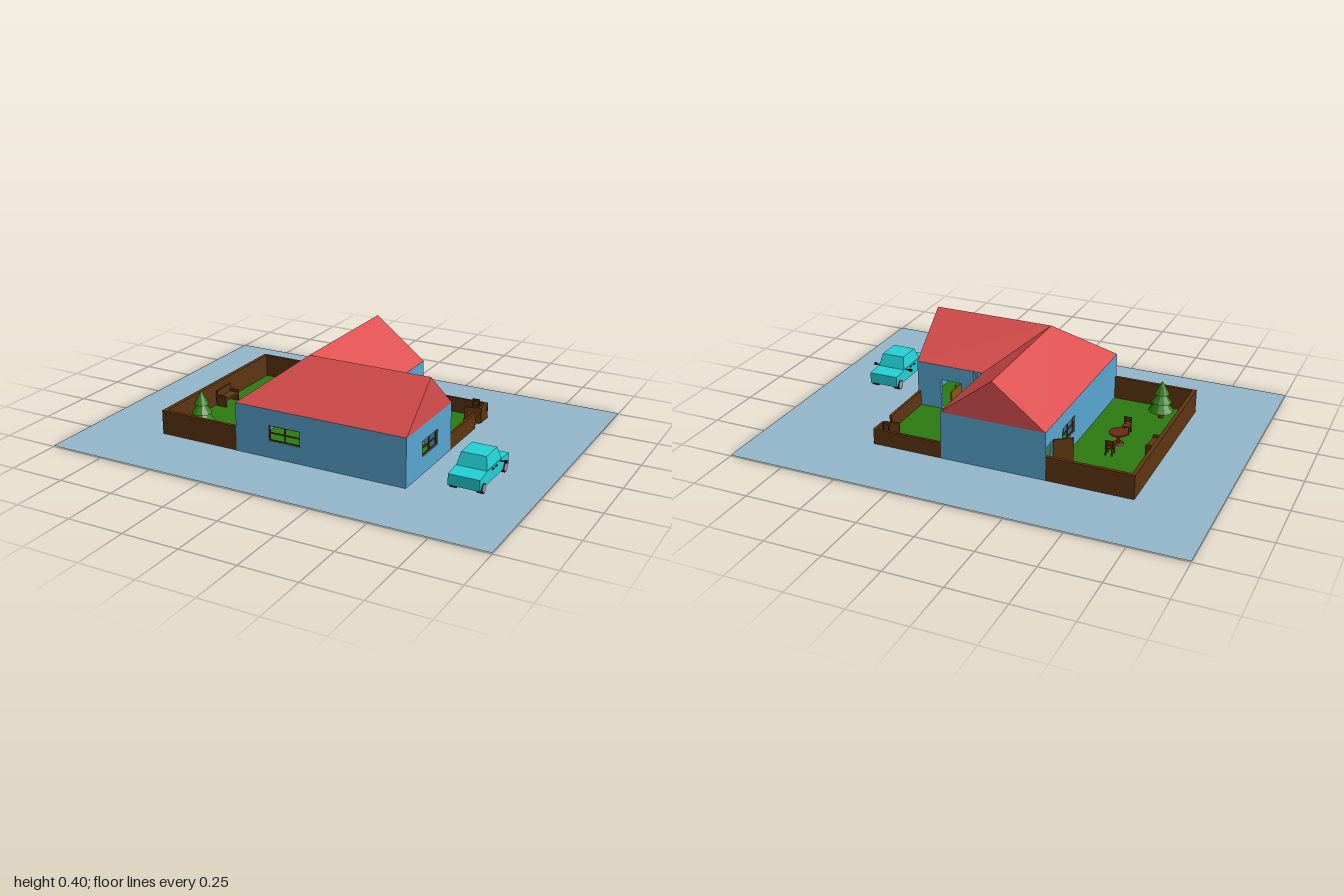
import * as THREE from 'three';

const paint = (name, color) => Object.assign(new THREE.MeshStandardMaterial({ color }), { name });

export function createModel() {
  const root = new THREE.Group();
  root.name = 'houseWithGardens';
  const ground = paint('paving', 0x93b6ca), grass = paint('grass', 0x2d7a10), blue = paint('wallBlue', 0x58a6d0),
    red = paint('roofRed', 0xdc4e4e), brown = paint('fenceBrown', 0x5e3510), oak = paint('doorOak', 0x84590f),
    cyan = paint('carCyan', 0x22d0d4), black = paint('black', 0x111111), grey = paint('hubGrey', 0x9aa4aa),
    wood = paint('furnitureWood', 0x6e2a14);
  for (const m of [red, ground, grass]) m.side = THREE.DoubleSide;

  const add = (name, geo, mat, x = 0, y = 0, z = 0, parent = root) => {
    const m = new THREE.Mesh(geo, mat);
    m.name = name;
    m.position.set(x, y, z);
    parent.add(m);
    return m;
  };
  // box given by its centre in plan and its bottom height
  const box = (name, mat, x, y, z, w, h, d, parent) =>
    add(name, new THREE.BoxGeometry(w, h, d), mat, x, y + h / 2, z, parent);
  // upright board between two points of the plan
  const board = (name, mat, x0, z0, x1, z1, h, t) => {
    const m = box(name, mat, (x0 + x1) / 2, 0, (z0 + z1) / 2, Math.hypot(x1 - x0, z1 - z0), h, t);
    m.rotation.y = -Math.atan2(z1 - z0, x1 - x0);
  };

  // Ground and lawn
  add('ground', new THREE.PlaneGeometry(2, 1.5).rotateX(-Math.PI / 2), ground, 0, 0.004, 0);
  add('lawn', new THREE.PlaneGeometry(1.15, 0.82).rotateX(-Math.PI / 2), grass, -0.085, 0.008, 0);

  // House walls; openings are [start, end, bottom, top] along the wall
  const T = 0.014, H = 0.22;
  const wall = (x0, z0, x1, z1, openings = []) => {
    const g = new THREE.Group();
    g.name = 'houseWall';
    g.position.set(x0, 0, z0);
    g.rotation.y = -Math.atan2(z1 - z0, x1 - x0);
    const L = Math.hypot(x1 - x0, z1 - z0);
    const s = new THREE.Shape([[0, 0], [L, 0], [L, H], [0, H]].map(p => new THREE.Vector2(...p)));
    for (const [a, b, lo, hi] of openings) {
      s.holes.push(new THREE.Path([[a, lo], [a, hi], [b, hi], [b, lo]].map(p => new THREE.Vector2(...p))));
      if (lo < 0.05) continue;
      // window frame and cross bars
      const f = 0.005, w = b - a, h = hi - lo, mid = (a + b) / 2;
      for (const u of [a + f / 2, mid, b - f / 2]) box('windowUpright', brown, u, lo, -T / 2, f, h, f, g);
      for (const v of [lo, lo + h / 2 - f / 2, hi - f]) box('windowBar', brown, mid, v, -T / 2, w, f, f, g);
    }
    add('wallPanel', new THREE.ExtrudeGeometry(s, { depth: T, bevelEnabled: false }), blue, 0, 0, -T, g);
    root.add(g);
  };
  wall(-0.29, 0.42, 0.5, 0.42, [[0.16, 0.31, 0.08, 0.15]]);
  wall(0.5, 0.42, 0.5, -0.01, [[0.15, 0.295, 0.08, 0.15]]);
  wall(0.5, -0.01, 0.18, -0.01, [[0.115, 0.215, 0.01, 0.15]]);
  wall(0.18, -0.01, 0.18, -0.42, [[0.14, 0.27, 0.075, 0.15]]);
  wall(0.18, -0.42, -0.29, -0.42);
  wall(-0.29, -0.42, -0.29, 0.42, [[0.015, 0.08, 0.01, 0.15], [0.185, 0.32, 0.075, 0.15]]);
  wall(-0.276, -0.01, 0.18, -0.01, [[0.3, 0.38, 0.01, 0.15]]);
  wall(0.22, 0.15, 0.22, -0.02);

  // Roof: two gabled wings meeting in a hip and a valley
  const P = {
    A: [-0.29, H, 0.42], B: [0.5, H, 0.42], C: [0.5, H, -0.01], D: [0.18, H, -0.01], E: [0.18, H, -0.42],
    F: [-0.29, H, -0.42], R: [-0.055, 0.402, 0.205], S: [0.5, 0.402, 0.205], U: [-0.055, 0.402, -0.42],
  };
  const roof = new THREE.BufferGeometry();
  const corners = ['ABS', 'ASR', 'BCS', 'CDR', 'CRS', 'DEU', 'DUR', 'EFU', 'FAR', 'FRU'].join('');
  roof.setAttribute('position', new THREE.Float32BufferAttribute([...corners].flatMap(k => P[k]), 3));
  roof.computeVertexNormals();
  add('roof', roof, red);

  // Open doors and garden gate
  board('gardenDoor', oak, 0.285, -0.012, 0.285, -0.11, 0.152, 0.007);
  board('sideDoor', brown, -0.29, -0.34, -0.36, -0.29, 0.152, 0.007);
  board('gate', brown, 0.495, -0.345, 0.425, -0.327, 0.076, 0.01);

  // Fences
  board('leftFence', brown, -0.66, -0.42, -0.66, 0.42, 0.112, 0.018);
  for (const z of [-0.413, 0.412]) board('leftYardFence', brown, -0.668, z, -0.29, z, 0.112, 0.015);
  board('backFence', brown, 0.18, -0.414, 0.5, -0.414, 0.076, 0.012);
  board('rightFence', brown, 0.493, -0.01, 0.493, -0.28, 0.076, 0.012);
  board('rightFenceEnd', brown, 0.493, -0.345, 0.493, -0.42, 0.076, 0.012);

  // Garden table, chairs and bench
  add('tableTop', new THREE.CylinderGeometry(0.042, 0.042, 0.006, 20), wood, -0.455, 0.06, -0.007);
  add('tableLeg', new THREE.CylinderGeometry(0.007, 0.007, 0.052, 10), wood, -0.455, 0.034, -0.007);
  add('tableFoot', new THREE.CylinderGeometry(0.02, 0.024, 0.006, 12), wood, -0.455, 0.011, -0.007);
  const chair = (x, z, turn, height) => {
    const g = new THREE.Group();
    g.name = 'chair';
    g.position.set(x, 0.008, z);
    g.rotation.y = turn;
    box('seat', wood, 0, 0.032, 0, 0.034, 0.005, 0.034, g);
    for (const sx of [-1, 1]) {
      for (const sz of [-1, 1]) box('chairLeg', wood, sx * 0.014, 0, sz * 0.014, 0.005, 0.032, 0.005, g);
      box('backPost', wood, sx * 0.014, 0.037, -0.0145, 0.005, height - 0.045, 0.005, g);
    }
    for (const y of [0.046, height - 0.018]) box('backRail', wood, 0, y, -0.0145, 0.034, 0.01, 0.004, g);
    root.add(g);
  };
  chair(-0.455, -0.113, 0, 0.078);
  chair(-0.455, 0.098, Math.PI, 0.078);
  chair(0.455, -0.376, 0, 0.096);
  box('benchSeat', brown, -0.619, 0.035, -0.013, 0.05, 0.012, 0.112);
  box('benchBack', brown, -0.641, 0.035, -0.013, 0.008, 0.045, 0.112);
  for (const z of [-0.063, 0.037]) box('benchEnd', brown, -0.619, 0.006, z, 0.05, 0.052, 0.01);

  // Fir tree
  add('treeTrunk', new THREE.CylinderGeometry(0.01, 0.012, 0.05, 8), brown, -0.545, 0.03, 0.3);
  [[0.058, 0.045, 0.07], [0.046, 0.085, 0.06], [0.034, 0.125, 0.06]].forEach(([r, y, h]) => {
    const cone = new THREE.ConeGeometry(r, h, 10).toNonIndexed();
    cone.computeVertexNormals();
    add('treeTier', cone, grass, -0.545, y + h / 2, 0.3);
  });

  // Simple furniture indoors
  box('diningTable', brown, -0.02, 0.06, -0.27, 0.1, 0.012, 0.22);
  for (const x of [-0.06, 0.02]) for (const z of [-0.37, -0.17]) box('tablePost', brown, x, 0.005, z, 0.01, 0.055, 0.01);
  box('sofa', grass, -0.155, 0.005, -0.06, 0.12, 0.04, 0.05);
  box('bed', grass, 0.34, 0.005, 0.2, 0.12, 0.045, 0.1);

  // Car body and tapered cabin
  const car = new THREE.Group();
  car.name = 'car';
  root.add(car);
  const side = [[0.06, 0.03], [0.36, 0.03], [0.36, 0.078], [0.285, 0.088], [0.15, 0.086], [0.06, 0.08]];
  const body = new THREE.ExtrudeGeometry(new THREE.Shape(side.map(p => new THREE.Vector2(...p))),
    { depth: 0.136, bevelEnabled: false }).rotateY(-Math.PI / 2);
  add('carBody', body, cyan, 0.788, 0, 0, car);
  const cabin = new THREE.BoxGeometry(0.132, 0.056, 0.15).toNonIndexed();
  const cp = cabin.attributes.position;
  for (let i = 0; i < cp.count; i++) {
    if (cp.getY(i) > 0) cp.setXYZ(i, cp.getX(i) * 0.82, cp.getY(i), cp.getZ(i) * 0.73);
  }
  cabin.computeVertexNormals();
  add('carCabin', cabin, cyan, 0.72, 0.112, 0.213, car);
  for (const s of [-1, 1]) {
    for (const z of [0.095, 0.322]) {
      const tyre = new THREE.CylinderGeometry(0.022, 0.022, 0.026, 20).rotateZ(Math.PI / 2);
      add('tyre', tyre, black, 0.72 + s * 0.057, 0.03, z, car);
      const hub = new THREE.CylinderGeometry(0.018, 0.018, 0.004, 20).rotateZ(Math.PI / 2);
      add('hub', hub, grey, 0.72 + s * 0.07, 0.03, z, car);
    }
    box('mirrorArm', black, 0.72 + s * 0.078, 0.08, 0.155, 0.022, 0.004, 0.004, car);
    box('mirror', black, 0.72 + s * 0.092, 0.076, 0.155, 0.014, 0.012, 0.006, car);
    for (const z of [0.2, 0.232]) box('doorHandle', black, 0.72 + s * 0.0695, 0.075, z, 0.004, 0.005, 0.014, car);
  }
  return root;
}
